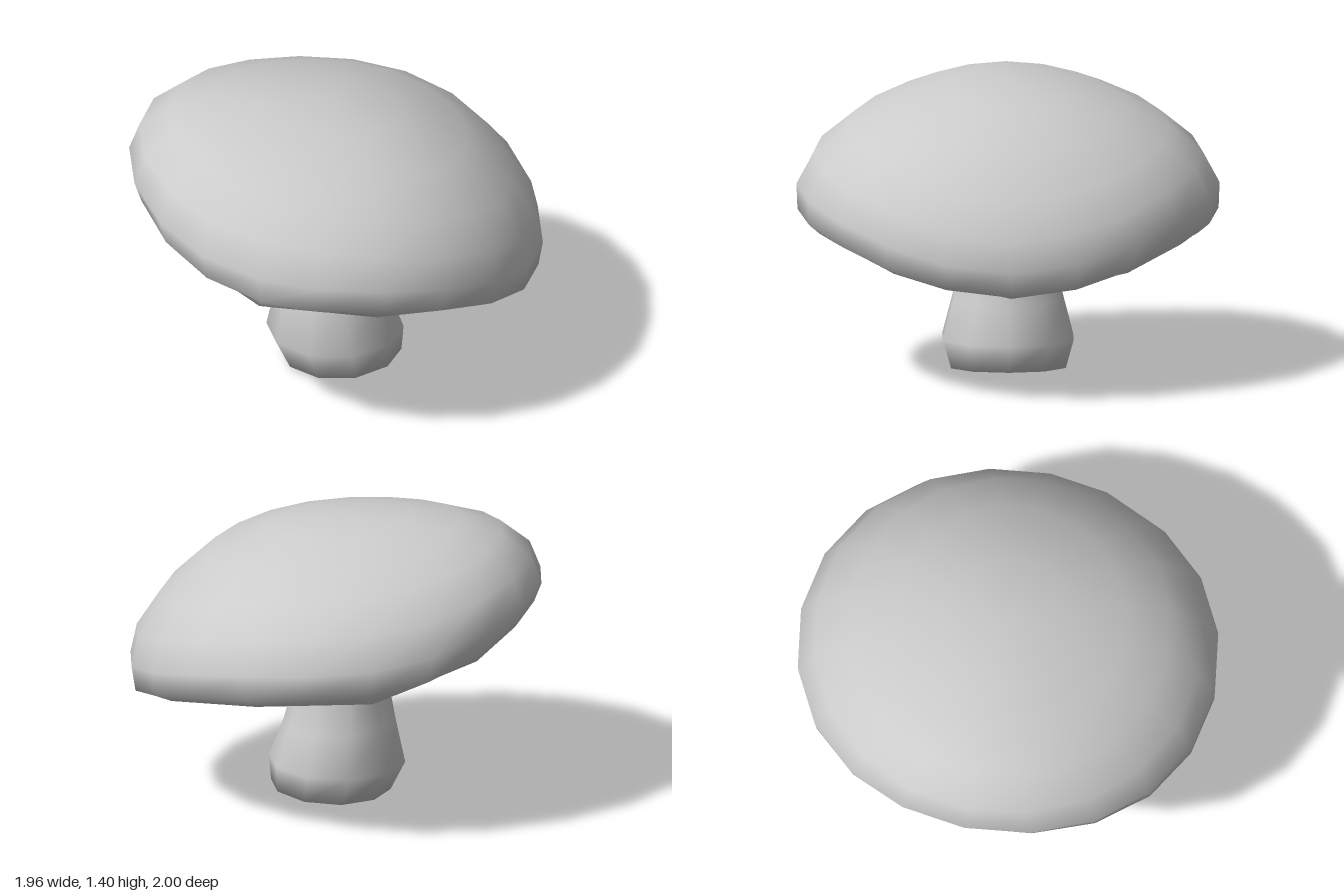
import * as THREE from 'three';

const material = new THREE.MeshStandardMaterial({ color: 0xcccccc });

// A section is [right x, right y, left x, left y, half depth, y at the z extremes, curl].
// Each ring tilts from left to right; curl (0 to 1) keeps its middle level
// and gathers the tilt towards the two ends.
function ring([rx, ry, lx, ly, depth, mid, curl], sides) {
  const points = [];
  for (let j = 0; j < sides; j++) {
    const a = (j / sides) * Math.PI * 2;
    const c = Math.cos(a);
    const tilt = (1 - curl) * c + curl * c ** 3;
    points.push(new THREE.Vector3(
      (rx + lx) / 2 + ((rx - lx) / 2) * c,
      mid + ((ry - ly) / 2) * tilt + ((ry + ly) / 2 - mid) * c * c,
      depth * Math.sin(a)
    ));
  }
  return points;
}

// Put every second corner on the chord between its neighbours
function halveSides(points) {
  const n = points.length;
  for (let j = 1; j < n; j += 2) {
    points[j].addVectors(points[j - 1], points[(j + 1) % n]).multiplyScalar(0.5);
  }
  return points;
}

// Smooth skin over rings listed from bottom to top, with optional end tips
function skin(name, rings, bottomTip, topTip) {
  const n = rings[0].length;
  const points = rings.flat();
  const index = [];
  for (let i = 0; i < rings.length - 1; i++) {
    for (let j = 0; j < n; j++) {
      const k = (j + 1) % n;
      const a = i * n + j, b = i * n + k;
      index.push(a, a + n, b, b, a + n, b + n);
    }
  }
  const cap = (tip, start, up) => {
    points.push(tip);
    const t = points.length - 1;
    for (let j = 0; j < n; j++) {
      const a = start + j, b = start + (j + 1) % n;
      index.push(...(up ? [a, t, b] : [a, b, t]));
    }
  };
  if (bottomTip) cap(bottomTip, 0, false);
  if (topTip) cap(topTip, (rings.length - 1) * n, true);

  const geometry = new THREE.BufferGeometry().setFromPoints(points);
  geometry.setIndex(index);
  geometry.computeVertexNormals();
  const mesh = new THREE.Mesh(geometry, material);
  mesh.name = name;
  return mesh;
}

export function createModel() {
  const group = new THREE.Group();
  group.name = 'mushroom';
  const rim = [0.88, 0.51, -0.92, 0.965, 0.94, 0.725, 0.8];

  // Bulging stem that flares into the hollow underside, out to the rim
  const stem = [
    [0.31, 0.045, -0.26, 0.02, 0.285, 0.025, 0],
    [0.32, 0.17, -0.33, 0.16, 0.325, 0.16, 0],
    [0.25, 0.35, -0.285, 0.37, 0.27, 0.36, 0],
    [0.2, 0.54, -0.25, 0.56, 0.22, 0.55, 0],
    [0.2, 0.66, -0.245, 0.69, 0.22, 0.67, 0],
    [0.26, 0.77, -0.28, 0.82, 0.26, 0.8, 0],
    [0.36, 0.81, -0.37, 0.93, 0.36, 0.87, 0],
    [0.65, 0.67, -0.66, 0.96, 0.66, 0.82, 0.5],
    rim,
  ].map((s) => ring(s, 10));
  group.add(skin('stemAndUnderside', stem, new THREE.Vector3(-0.04, 0, 0), null));

  // Tilted domed cap, drooping towards +x
  const dome = [
    [0.96, 0.53, -0.945, 0.99, 0.995, 0.78, 0.8],
    [0.98, 0.65, -0.98, 1.08, 1, 0.9, 0.7],
    [0.95, 0.79, -0.93, 1.21, 0.92, 1.05, 0.6],
    [0.84, 0.96, -0.79, 1.32, 0.765, 1.175, 0.5],
    [0.63, 1.17, -0.6, 1.37, 0.56, 1.275, 0.4],
    [0.32, 1.32, -0.36, 1.4, 0.3, 1.355, 0.2],
  ].map((s) => ring(s, 20));
  const lip = halveSides(ring(rim, 20));
  group.add(skin('cap', [lip, ...dome], null, new THREE.Vector3(-0.02, 1.39, 0)));

  return group;
}
